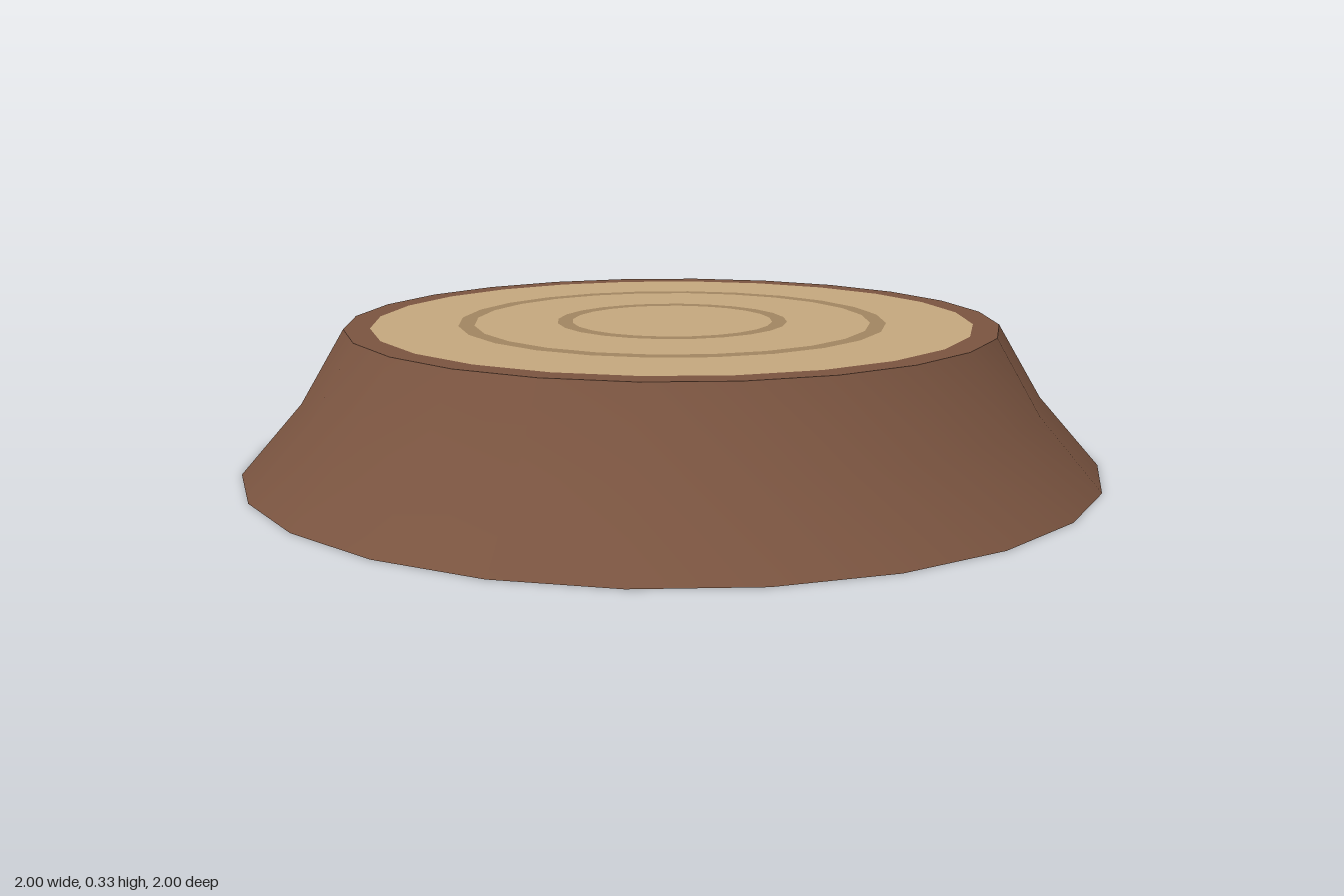
import * as THREE from 'three';

const SIDES = 24;
const HEIGHT = 0.33;

export function createModel() {
  const group = new THREE.Group();
  group.name = 'treeStump';

  const material = (name, color) => {
    const m = new THREE.MeshStandardMaterial({ color, side: THREE.DoubleSide });
    m.name = name;
    return m;
  };
  const bark = material('bark brown', 0x7a5440);
  const wood = material('cut wood tan', 0xc4a77d);
  const grain = material('growth ring brown', 0xa08560);

  const add = (name, geometry, mat) => {
    const mesh = new THREE.Mesh(geometry, mat);
    mesh.name = name;
    group.add(mesh);
    return mesh;
  };

  // Flared bark wall, hollow and open underneath
  const profile = [[1, 0], [0.86, 0.16], [0.76, HEIGHT]].map(([r, y]) => new THREE.Vector2(r, y));
  const wall = new THREE.LatheGeometry(profile, SIDES);
  wall.computeVertexNormals();
  add('barkWall', wall, bark);

  // Flat cut top, made of concentric bands from the centre outwards
  const bands = [
    ['heartwood', 0, 0.235, wood],
    ['innerGrowthRing', 0.235, 0.27, grain],
    ['middleWood', 0.27, 0.463, wood],
    ['outerGrowthRing', 0.463, 0.5, grain],
    ['outerWood', 0.5, 0.7, wood],
    ['barkRim', 0.7, 0.76, bark],
  ];
  for (const [name, inner, outer, mat] of bands) {
    const band = inner === 0
      ? new THREE.CircleGeometry(outer, SIDES)
      : new THREE.RingGeometry(inner, outer, SIDES);
    band.rotateX(-Math.PI / 2).translate(0, HEIGHT, 0);
    add(name, band, mat);
  }

  return group;
}
